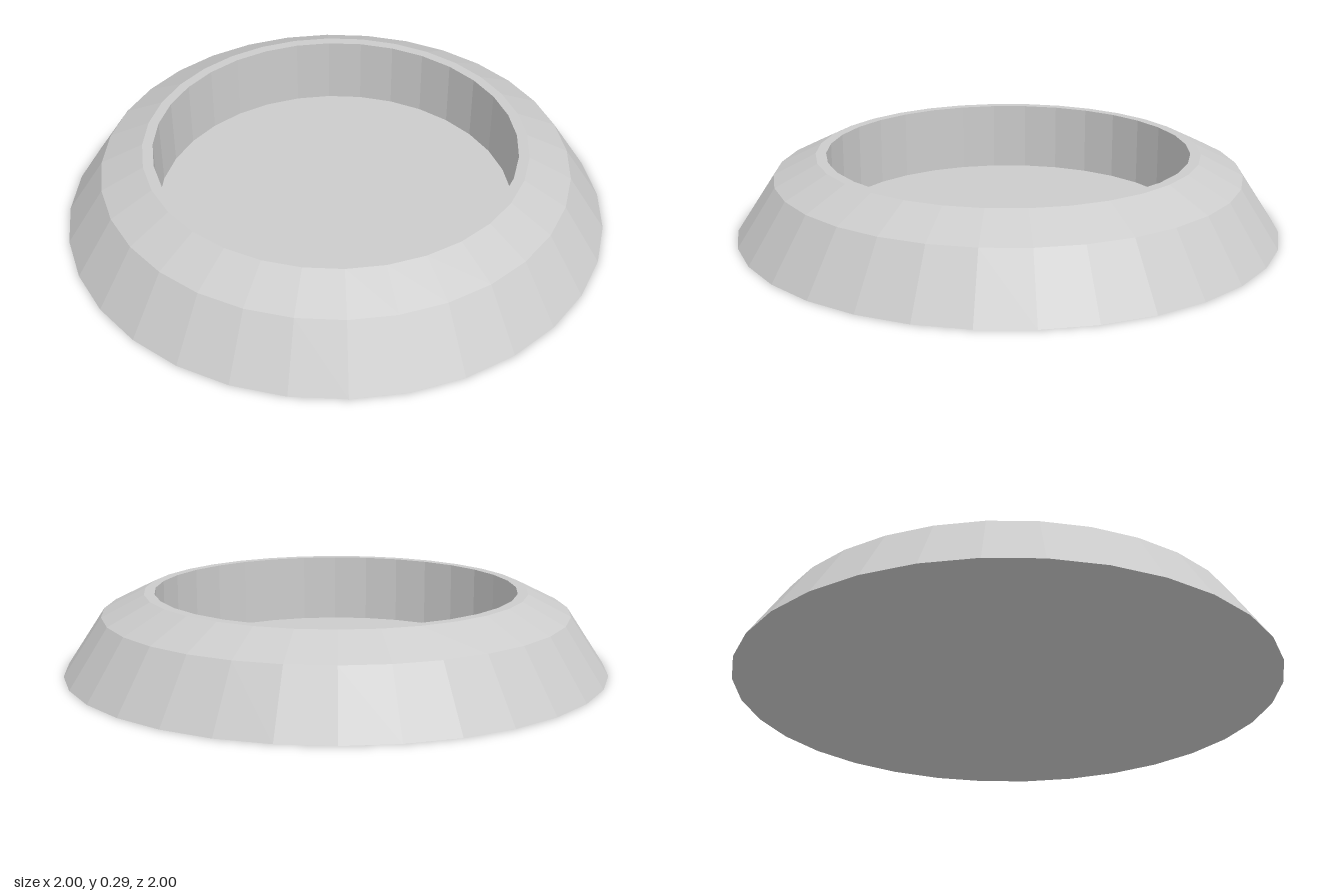
import * as THREE from 'three';

const SIDES = 32;

export function createModel() {
  const group = new THREE.Group();
  group.name = 'bowl';
  const material = new THREE.MeshStandardMaterial({ color: 0xcccccc, flatShading: true });

  const addLathe = (name, profile) => {
    const points = profile.map(([r, y]) => new THREE.Vector2(r, y));
    const mesh = new THREE.Mesh(new THREE.LatheGeometry(points, SIDES), material);
    mesh.name = name;
    group.add(mesh);
  };

  // Flat underside, sloped wall, bevelled shoulder, narrow rim and straight inner wall
  addLathe('body', [[0, 0], [1, 0], [0.86, 0.212], [0.705, 0.289], [0.667, 0.289], [0.667, 0.03]]);

  // Floor of the recess
  const floor = new THREE.Mesh(new THREE.CircleGeometry(0.667, SIDES), material);
  floor.name = 'recessFloor';
  floor.rotation.x = -Math.PI / 2;
  floor.position.y = 0.03;
  group.add(floor);

  return group;
}
